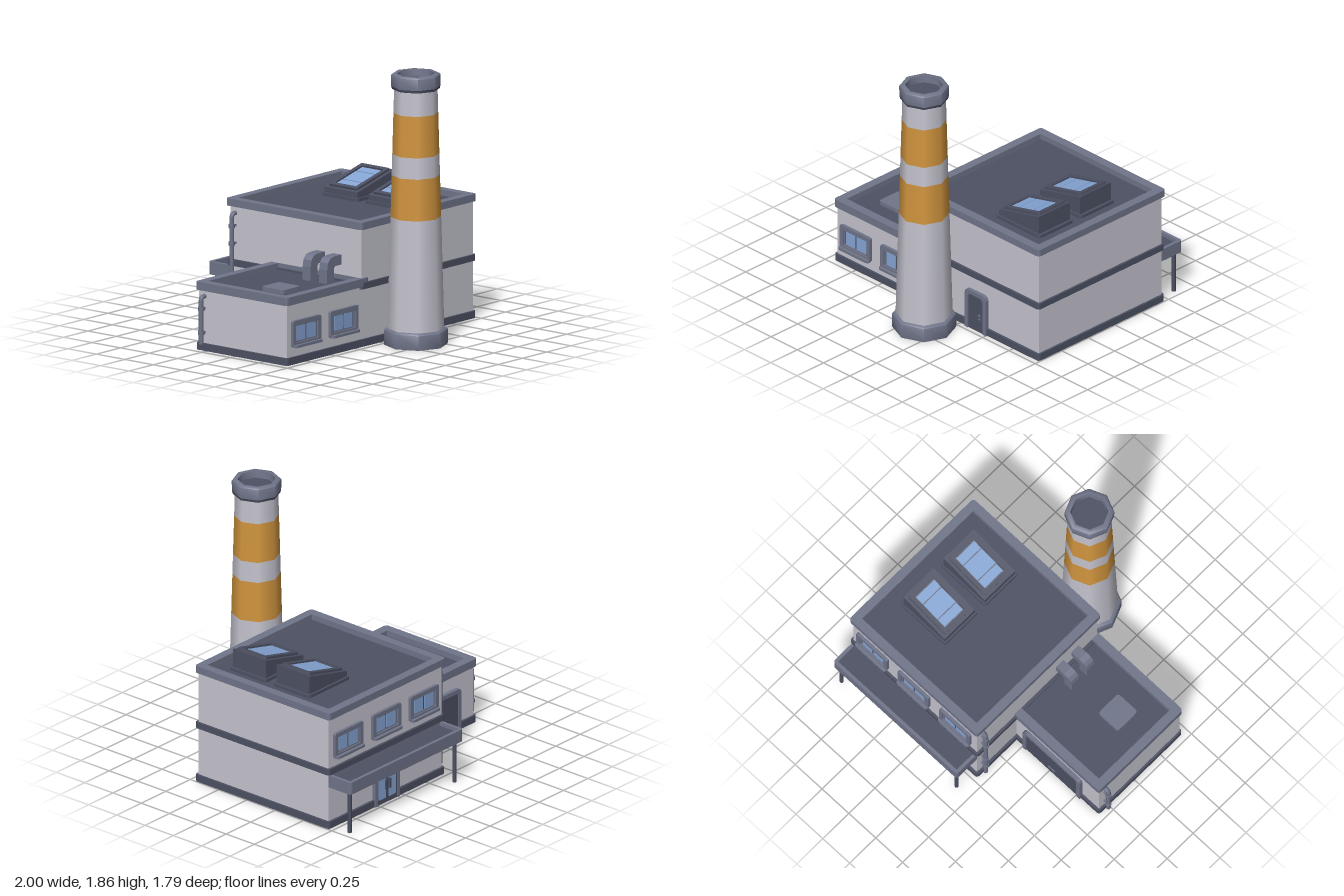
import * as THREE from 'three';
import { toCreasedNormals } from 'three/addons/utils/BufferGeometryUtils.js';

const mat = (name, color) => Object.assign(new THREE.MeshStandardMaterial({ color }), { name });
const wall = mat('wall', 0xc6c5d0), trim = mat('trim', 0x70758a), dark = mat('darkTrim', 0x4d5163),
  glass = mat('glass', 0x86a6d6), orange = mat('orangeBand', 0xd3963f);

function add(parent, name, geo, material, x = 0, y = 0, z = 0) {
  const m = new THREE.Mesh(geo, material);
  m.name = name;
  m.position.set(x, y, z);
  parent.add(m);
  return m;
}
const group = (parent, name, x = 0, y = 0, z = 0) => {
  const g = new THREE.Group();
  g.name = name;
  g.position.set(x, y, z);
  parent.add(g);
  return g;
};
// Box given by its limits
const box = (parent, name, material, x0, x1, y0, y1, z0, z1) =>
  add(parent, name, new THREE.BoxGeometry(x1 - x0, y1 - y0, z1 - z0), material,
    (x0 + x1) / 2, (y0 + y1) / 2, (z0 + z1) / 2);

// Rectangle with rounded corners
function rounded(x0, x1, y0, y1, r, Type = THREE.Shape) {
  const s = new Type();
  s.moveTo(x0 + r, y0);
  s.lineTo(x1 - r, y0);
  s.quadraticCurveTo(x1, y0, x1, y0 + r);
  s.lineTo(x1, y1 - r);
  s.quadraticCurveTo(x1, y1, x1 - r, y1);
  s.lineTo(x0 + r, y1);
  s.quadraticCurveTo(x0, y1, x0, y1 - r);
  s.lineTo(x0, y0 + r);
  s.quadraticCurveTo(x0, y0, x0 + r, y0);
  return s;
}
const extrude = (shape, depth) =>
  new THREE.ExtrudeGeometry(shape, { depth, bevelEnabled: false, curveSegments: 3 });

// Horizontal slab with rounded corners; a rim width makes it a ring
function slab(parent, name, material, x0, x1, y0, y1, z0, z1, rim = 0) {
  const s = rounded(x0, x1, -z1, -z0, 0.022);
  if (rim) s.holes.push(rounded(x0 + rim, x1 - rim, -z1 + rim, -z0 - rim, 0.004, THREE.Path));
  return add(parent, name, extrude(s, y1 - y0).rotateX(-Math.PI / 2), material, 0, y0, 0);
}
// Upright picture frame
function frame(parent, name, material, w, h, rim, depth, r) {
  const s = rounded(-w / 2, w / 2, -h / 2, h / 2, r);
  s.holes.push(rounded(-w / 2 + rim, w / 2 - rim, -h / 2 + rim, h / 2 - rim, r * 0.6, THREE.Path));
  return add(parent, name, extrude(s, depth), material);
}
// Door surround, open at the floor
function surround(parent, w, h, rim, depth) {
  const s = new THREE.Shape(), a = w / 2, b = a - rim, k = h - rim, c = 0.03, d = 0.018;
  [[-a, 0], [-b, 0], [-b, k - d], [-b + d, k], [b - d, k], [b, k - d], [b, 0], [a, 0],
    [a, h - c], [a - c * 0.3, h - c * 0.3], [a - c, h], [c - a, h], [c * 0.3 - a, h - c * 0.3], [-a, h - c]]
    .forEach(([x, y], i) => (i ? s.lineTo(x, y) : s.moveTo(x, y)));
  add(parent, 'doorSurround', extrude(s, depth), trim);
}

// Two-pane window, facing +z
function windowUnit(parent, x, y, z, back) {
  const g = group(parent, 'window', x, y, z);
  if (back) g.rotation.y = Math.PI;
  frame(g, 'windowFrame', trim, 0.285, 0.18, 0.03, 0.022, 0.012);
  box(g, 'windowRecess', dark, -0.12, 0.12, -0.065, 0.065, 0, 0.006);
  frame(g, 'windowSash', trim, 0.222, 0.122, 0.01, 0.012, 0.006);
  for (const s of [-1, 1]) add(g, 'windowPane', extrude(rounded(-0.044, 0.044, -0.053, 0.053, 0.01), 0.004), glass, s * 0.051, 0, 0.006);
  slab(g, 'windowSill', trim, -0.142, 0.142, -0.092, -0.074, 0, 0.044);
}

// Drain pipe bent into a wall on its +x side
function drainPipe(parent, x, z, top, collars) {
  const g = group(parent, 'drainPipe', x, 0, z);
  const path = new THREE.CurvePath();
  const v = (a, b) => new THREE.Vector3(a, b, 0);
  path.add(new THREE.LineCurve3(v(0, 0.05), v(0, top - 0.045)));
  path.add(new THREE.QuadraticBezierCurve3(v(0, top - 0.045), v(0, top - 0.016), v(0.025, top - 0.016)));
  path.add(new THREE.LineCurve3(v(0.025, top - 0.016), v(0.06, top - 0.016)));
  add(g, 'pipe', new THREE.TubeGeometry(path, 40, 0.016, 8), trim);
  add(g, 'pipeEnd', new THREE.CircleGeometry(0.016, 8).rotateX(Math.PI / 2), trim, 0, 0.05, 0);
  for (const y of collars) {
    add(g, 'pipeCollar', new THREE.CylinderGeometry(0.022, 0.022, 0.026, 8), trim, 0, y, 0);
    box(g, 'pipeBracket', trim, 0, 0.045, y - 0.008, y + 0.008, -0.008, 0.008);
  }
}

// Sloped roof light
function skylight(parent, z) {
  const g = group(parent, 'skylight', 0, 0, z);
  slab(g, 'skylightCurb', dark, 0.415, 0.835, 0.8, 0.832, -0.16, 0.16);
  const s = new THREE.Shape();
  [[0.432, 0.82], [0.815, 0.82], [0.815, 0.963], [0.432, 0.87]].forEach(([x, y], i) => (i ? s.lineTo(x, y) : s.moveTo(x, y)));
  add(g, 'skylightBody', extrude(s, 0.29), dark, 0, 0, -0.145);
  const tilt = group(g, 'skylightGlazing', 0.6235, 0.9165, 0);
  tilt.rotation.z = Math.atan2(0.093, 0.383);
  const ring = frame(tilt, 'skylightFrame', dark, 0.35, 0.245, 0.03, 0.017, 0.012);
  ring.rotation.x = -Math.PI / 2;
  box(tilt, 'skylightSash', trim, -0.143, 0.143, 0, 0.005, -0.092, 0.092);
  for (const [a, b] of [[-0.136, -0.075], [-0.067, 0.066], [0.074, 0.136]])
    box(tilt, 'skylightPane', glass, a, b, 0.004, 0.009, -0.086, 0.086);
}

function chimney(parent) {
  const g = group(parent, 'chimney', 0.12, 0, 0.675);
  const lathe = (name, material, pts) => add(g, name, toCreasedNormals(
    new THREE.LatheGeometry(pts.map(p => new THREE.Vector2(...p)), 8), 0.9), material);
  lathe('chimneyBase', trim, [[0, 0], [0.213, 0], [0.215, 0.012], [0.215, 0.1], [0.203, 0.113], [0.17, 0.113]]);
  const radius = y => 0.191 - (y - 0.11) * 0.0275;
  [[0.11, 0.875, wall], [0.875, 1.16, orange], [1.16, 1.305, wall], [1.305, 1.587, orange], [1.587, 1.76, wall]]
    .forEach(([a, b, m]) => add(g, m === wall ? 'chimneyShaft' : 'chimneyBand',
      new THREE.CylinderGeometry(radius(b), radius(a), b - a, 8, 1, true), m, 0, (a + b) / 2, 0));
  lathe('chimneyCapUnderside', dark, [[0.135, 1.75], [0.16, 1.75], [0.165, 1.768]]);
  lathe('chimneyCap', trim, [[0.165, 1.768], [0.167, 1.845], [0.157, 1.855], [0.128, 1.855], [0.123, 1.8]]);
  add(g, 'chimneyOpening', new THREE.CircleGeometry(0.126, 8).rotateX(-Math.PI / 2), dark, 0, 1.805, 0);
}

export function createModel() {
  const model = new THREE.Group();
  model.name = 'factory';

  // Main hall
  const hall = group(model, 'mainHall');
  slab(hall, 'hallPlinth', dark, -0.19, 0.995, 0, 0.05, -0.722, 0.462);
  box(hall, 'hallWalls', wall, -0.172, 0.98, 0.04, 0.8, -0.705, 0.446);
  slab(hall, 'hallBelt', dark, -0.19, 0.995, 0.392, 0.436, -0.722, 0.462);
  box(hall, 'hallRoof', dark, -0.15, 0.96, 0.795, 0.81, -0.69, 0.43);
  slab(hall, 'hallParapet', trim, -0.193, 0.997, 0.8, 0.85, -0.728, 0.464, 0.062);
  for (const z of [-0.248, 0.137]) skylight(hall, z);
  for (const x of [0.02, 0.405, 0.79]) windowUnit(hall, x, 0.59, -0.705, true);

  // Side wing
  const wing = group(model, 'sideWing');
  slab(wing, 'wingPlinth', dark, -0.955, -0.15, 0, 0.05, -0.342, 0.46);
  box(wing, 'wingWalls', wall, -0.94, -0.16, 0.04, 0.412, -0.325, 0.445);
  box(wing, 'wingRoof', dark, -0.92, -0.16, 0.405, 0.425, -0.31, 0.43);
  slab(wing, 'wingParapet', trim, -0.958, -0.11, 0.41, 0.466, -0.344, 0.462, 0.063);
  slab(wing, 'roofHatch', trim, -0.747, -0.563, 0.42, 0.452, 0.055, 0.247);
  for (const x of [-0.753, -0.367]) windowUnit(wing, x, 0.207, 0.445, false);

  // Bent ducts from the wing roof into the hall wall
  for (const z of [0.055, 0.2]) {
    const s = new THREE.Shape();
    s.moveTo(-0.318, 0.42);
    s.lineTo(-0.25, 0.42);
    s.lineTo(-0.25, 0.52);
    s.lineTo(-0.235, 0.535);
    s.lineTo(-0.16, 0.535);
    s.lineTo(-0.16, 0.603);
    s.lineTo(-0.245, 0.603);
    s.quadraticCurveTo(-0.318, 0.603, -0.318, 0.52);
    add(wing, 'roofDuct', extrude(s, 0.07), trim, 0, 0, z);
  }

  // Front door
  const front = group(model, 'frontDoor', 0.4, 0, 0.44);
  surround(front, 0.2, 0.293, 0.03, 0.033);
  box(front, 'doorLeaf', dark, -0.072, 0.072, 0, 0.266, 0, 0.026);
  box(front, 'doorPlate', trim, 0.026, 0.046, 0.095, 0.135, 0.025, 0.03);
  box(front, 'doorHandle', dark, 0.018, 0.044, 0.112, 0.121, 0.028, 0.036);

  // Glazed double door at the rear
  const rear = group(model, 'rearDoor', 0.405, 0, -0.7);
  rear.rotation.y = Math.PI;
  surround(rear, 0.25, 0.293, 0.025, 0.032);
  box(rear, 'doorPanel', dark, -0.102, 0.102, 0, 0.27, 0, 0.025);
  for (const s of [-1, 1]) {
    add(rear, 'doorGlass', extrude(rounded(-0.038, 0.038, 0.035, 0.25, 0.01), 0.004), glass, s * 0.05, 0, 0.024);
    box(rear, 'doorHandle', dark, s * 0.02 - 0.007, s * 0.02 + 0.007, 0.1, 0.17, 0.024, 0.04);
  }

  // Loading door at the rear of the wing
  const loading = group(model, 'loadingDoor', -0.52, 0, -0.32);
  loading.rotation.y = Math.PI;
  surround(loading, 0.53, 0.31, 0.03, 0.034);
  box(loading, 'loadingPanel', dark, -0.237, 0.237, 0, 0.282, 0, 0.026);
  box(loading, 'loadingHandle', trim, -0.03, 0.03, 0.065, 0.077, 0.025, 0.032);

  // Rear canopy on posts
  const canopy = group(model, 'canopy');
  box(canopy, 'canopyDeck', dark, -0.155, 0.965, 0.302, 0.36, -0.885, -0.7);
  slab(canopy, 'canopyRim', trim, -0.172, 0.98, 0.3, 0.388, -0.9, -0.69, 0.024);
  for (const x of [-0.13, 0.94])
    add(canopy, 'canopyPost', new THREE.CylinderGeometry(0.014, 0.014, 0.305, 8), dark, x, 0.1525, -0.858);

  drainPipe(model, -0.978, -0.275, 0.388, [0.125, 0.29]);
  drainPipe(model, -0.21, -0.66, 0.77, [0.17, 0.3, 0.55, 0.67]);
  chimney(model);
  return model;
}
